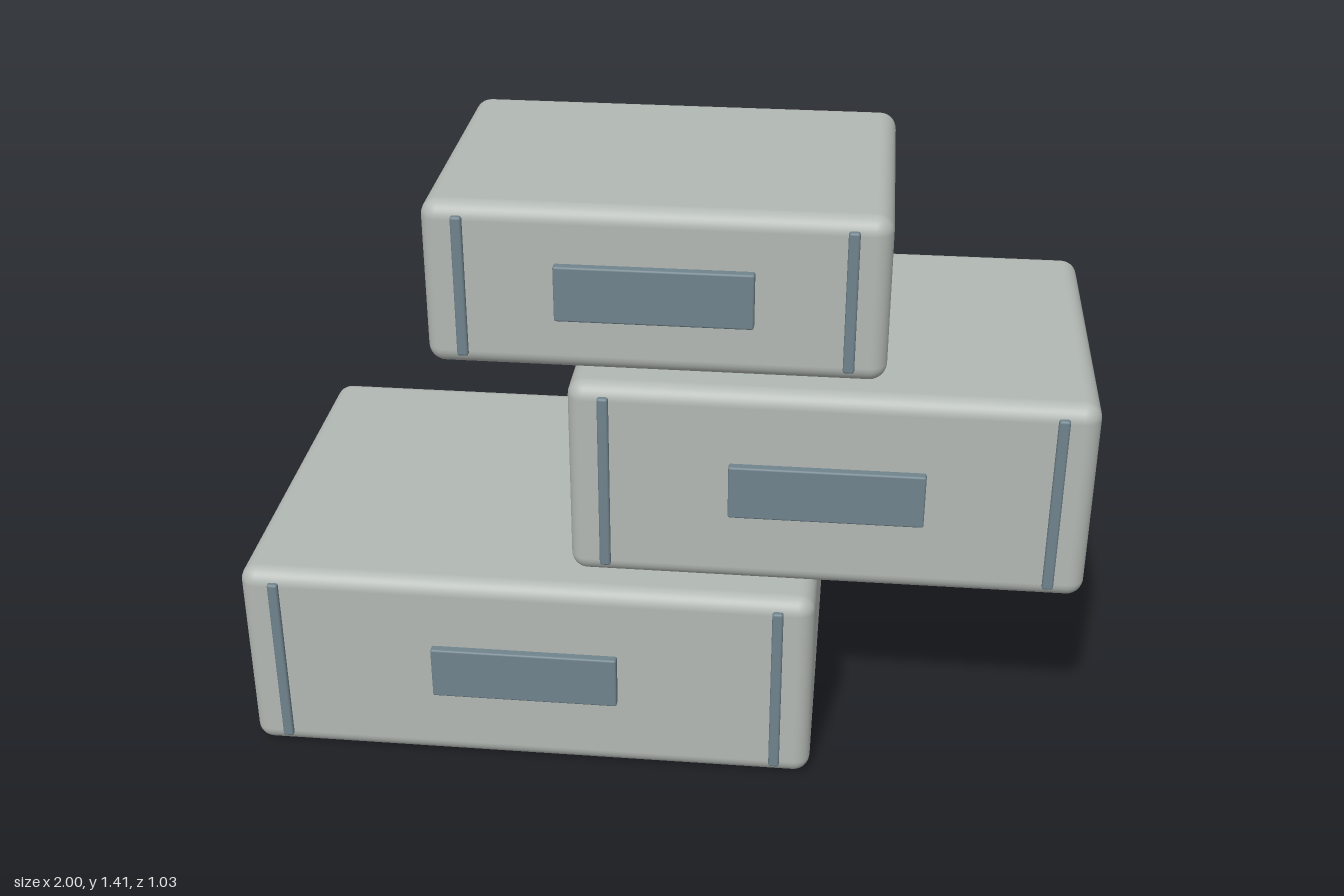
import * as THREE from 'three';
import { RoundedBoxGeometry } from 'three/addons/geometries/RoundedBoxGeometry.js';

const bodyMat = new THREE.MeshStandardMaterial({ color: 0xb2b8b4 });
const trimMat = new THREE.MeshStandardMaterial({ color: 0x70838c });

// Rounded block given by its minimum and maximum corners
function block(name, min, max, radius, segments, material) {
  const [w, h, d] = max.map((v, i) => v - min[i]);
  const mesh = new THREE.Mesh(new RoundedBoxGeometry(w, h, d, segments, radius), material);
  mesh.position.set(...max.map((v, i) => (v + min[i]) / 2));
  mesh.name = name;
  return mesh;
}

// One case: body, front plate and four vertical strips
function createCase({ name, x, y, z, plateX, plateY, inset }) {
  const group = new THREE.Group();
  group.name = name;
  group.add(block('body', [x[0], y[0], z[0]], [x[1], y[1], z[1]], 0.04, 4, bodyMat));

  group.add(block('frontPlate',
    [plateX - 0.225, plateY - 0.067, z[1] - 0.02],
    [plateX + 0.225, plateY + 0.067, z[1] + 0.02], 0.005, 2, trimMat));

  // Strips near both ends, on the front and the back
  for (const sx of [x[0] + inset, x[1] - inset]) {
    for (const [side, sz] of [['front', z[1]], ['back', z[0]]]) {
      group.add(block(side + 'Strip',
        [sx - 0.013, y[0] + 0.03, sz - 0.01],
        [sx + 0.013, y[1] - 0.028, sz + 0.01], 0.006, 2, trimMat));
    }
  }
  return group;
}

export function createModel() {
  const model = new THREE.Group();
  model.name = 'stackedCases';
  const cases = [
    { name: 'bottomCase', x: [-1, 0.38], y: [0, 0.504], z: [-0.505, 0.492], plateX: -0.312, plateY: 0.256, inset: 0.086 },
    { name: 'middleCase', x: [-0.206, 0.998], y: [0.506, 1.009], z: [-0.43, 0.416], plateX: 0.393, plateY: 0.759, inset: 0.085 },
    { name: 'topCase', x: [-0.535, 0.516], y: [1.012, 1.412], z: [-0.37, 0.354], plateX: -0.009, plateY: 1.212, inset: 0.086 },
  ];
  for (const spec of cases) model.add(createCase(spec));
  return model;
}
